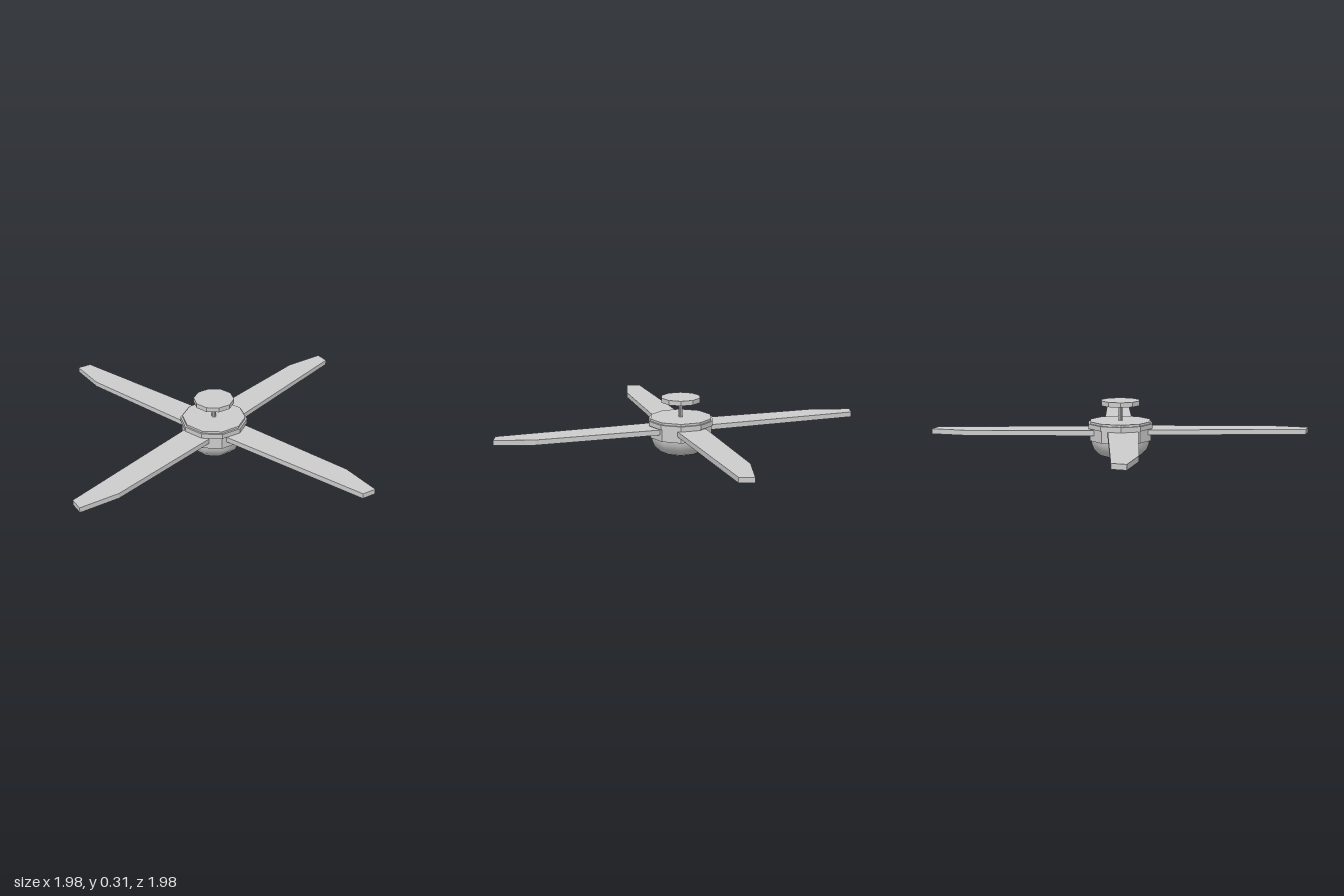
import * as THREE from 'three';

export function createModel() {
  const fan = new THREE.Group();
  fan.name = 'ceilingFan';
  const flat = new THREE.MeshStandardMaterial({ color: 0xcccccc, flatShading: true });
  const smooth = new THREE.MeshStandardMaterial({ color: 0xcccccc, side: THREE.DoubleSide });
  const SIDES = 10;

  const add = (name, geometry, material = flat) => {
    const mesh = new THREE.Mesh(geometry, material);
    mesh.name = name;
    fan.add(mesh);
    return mesh;
  };
  // Upright faceted drum between two heights
  const drum = (name, r, y0, y1, rTop = r) => {
    add(name, new THREE.CylinderGeometry(rTop, r, y1 - y0, SIDES)).position.y = (y0 + y1) / 2;
  };

  // Ceiling mount and rod
  drum('ceilingMount', 0.105, 0.29, 0.315);
  drum('downRod', 0.011, 0.2, 0.295);

  // Motor housing
  drum('housingCap', 0.165, 0.19, 0.208);
  drum('housingCollar', 0.175, 0.172, 0.197);
  drum('motorHousing', 0.168, 0.108, 0.175);

  // Rounded bowl beneath the housing
  const bowl = [[0, 0], [0.055, 0.007], [0.11, 0.027], [0.145, 0.06], [0.157, 0.09], [0.16, 0.112]];
  add('lightBowl', new THREE.LatheGeometry(bowl.map(([r, y]) => new THREE.Vector2(r, y)), SIDES), smooth);

  // Four blades with clipped tips
  const outline = [[0.14, -0.07], [0.968, -0.06], [0.992, 0.01], [0.79, 0.07], [0.14, 0.088]];
  const bladeGeometry = new THREE.ExtrudeGeometry(
    new THREE.Shape(outline.map(([x, y]) => new THREE.Vector2(x, y))),
    { depth: 0.027, bevelEnabled: false });
  bladeGeometry.rotateX(-Math.PI / 2);
  for (let i = 0; i < 4; i++) {
    const blade = add('blade' + (i + 1), bladeGeometry);
    blade.position.set(-0.003, 0.141, -0.003);
    blade.rotation.y = i * Math.PI / 2;
  }
  return fan;
}
